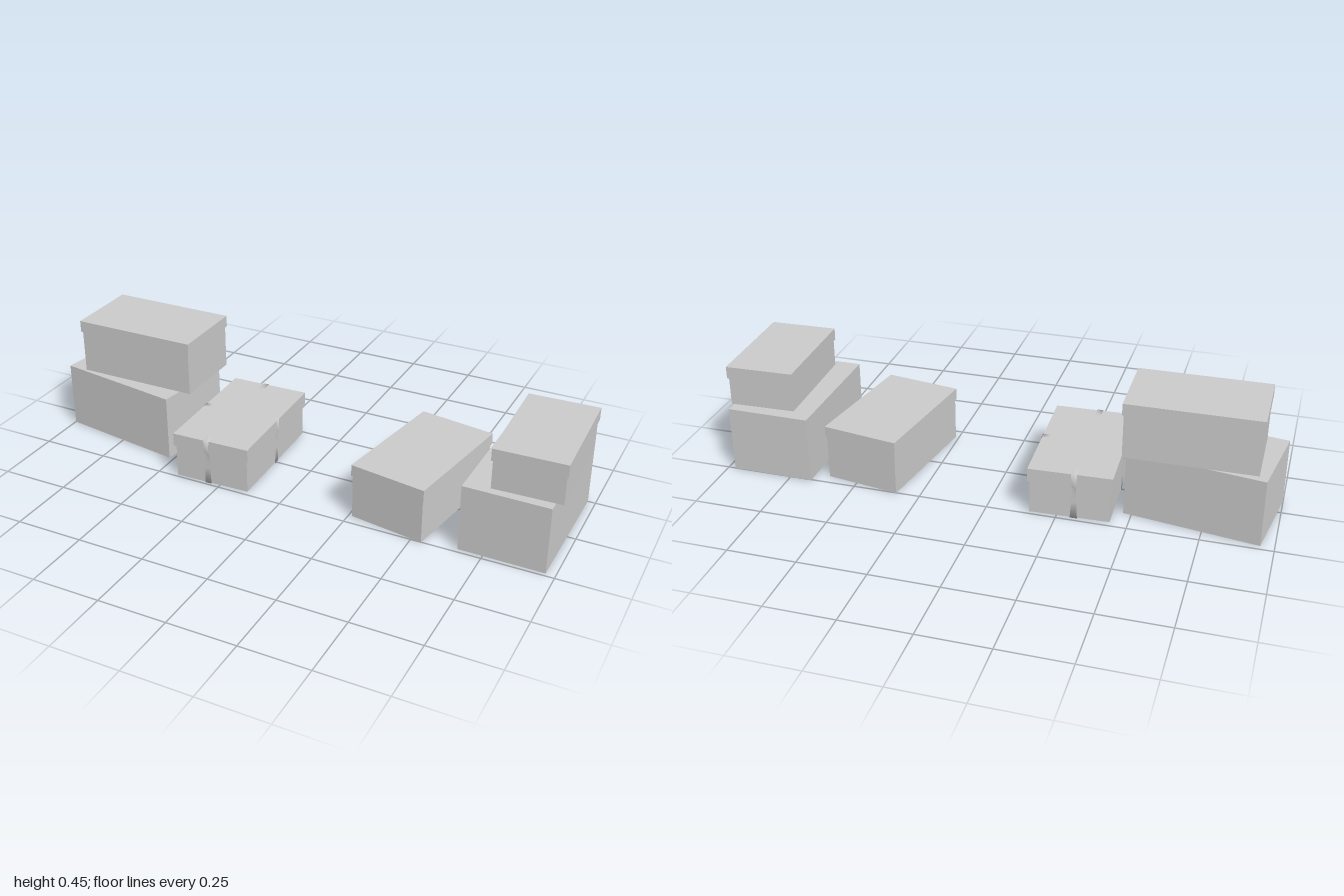
import * as THREE from 'three';

const material = new THREE.MeshStandardMaterial({ color: 0xcccccc });
const ribbonMaterial = new THREE.MeshStandardMaterial({ color: 0xcccccc, side: THREE.DoubleSide });

// A cuboid standing on height y0 and reaching y1
function block(name, w, d, y0, y1) {
  const mesh = new THREE.Mesh(new THREE.BoxGeometry(w, y1 - y0, d), material);
  mesh.name = name;
  mesh.position.y = (y0 + y1) / 2;
  return mesh;
}

// A box, optionally with an overhanging lid of height lidH; w and d are outer sizes
function makeBox({ name, x, z, w, d, y0, y1, turn, lidH = 0, over = 0 }) {
  const box = new THREE.Group();
  box.name = name;
  box.position.set(x, 0, z);
  box.rotation.y = turn;
  box.add(block('boxBody', w - 2 * over, d - 2 * over, y0, y1 - lidH));
  if (lidH) box.add(block('boxLid', w, d, y1 - lidH, y1));
  return box;
}

// A closed band around a lidded box, pinched below the lid: [across, height, half width]
function makeRibbon(name, body, lid, lidY, topY) {
  const side = [
    [0, 0, 0.01], [body, 0, 0.013], [body, lidY * 0.5, 0.009],
    [body, lidY - 0.008, 0.007], [lid, lidY, 0.007], [lid, topY, 0.011], [lid * 0.8, topY, 0.01],
  ];
  const mirrored = side.slice(1).reverse().map(([s, y, h]) => [-s, y, h]);
  const path = [...side, [0, topY, 0.009], ...mirrored];
  const positions = [], indices = [], n = path.length;
  path.forEach(([s, y, h], i) => {
    positions.push(-h, y, s, h, y, s);
    const a = 2 * i, b = 2 * ((i + 1) % n);
    indices.push(a, a + 1, b, a + 1, b + 1, b);
  });
  const geometry = new THREE.BufferGeometry();
  geometry.setAttribute('position', new THREE.Float32BufferAttribute(positions, 3));
  geometry.setIndex(indices);
  geometry.computeVertexNormals();
  const mesh = new THREE.Mesh(geometry, ribbonMaterial);
  mesh.name = name;
  return mesh;
}

export function createModel() {
  const model = new THREE.Group();
  model.name = 'boxes';

  // Stacked and single boxes
  const boxes = [
    { name: 'rightLowerBox', x: -0.735, z: -0.04, w: 0.487, d: 0.309, y0: 0, y1: 0.247, turn: -0.154 },
    { name: 'rightUpperBox', x: -0.693, z: -0.062, w: 0.47, d: 0.284, y0: 0.247, y1: 0.452, turn: 0.005, lidH: 0.043, over: 0.005 },
    { name: 'singleBox', x: 0.438, z: 0, w: 0.287, d: 0.473, y0: 0, y1: 0.207, turn: -0.161, lidH: 0.043, over: 0.004 },
    { name: 'leftLowerBox', x: 0.817, z: -0.009, w: 0.305, d: 0.488, y0: 0, y1: 0.247, turn: -0.012 },
    { name: 'leftUpperBox', x: 0.866, z: -0.002, w: 0.252, d: 0.417, y0: 0.247, y1: 0.397, turn: 0.028, lidH: 0.045, over: 0.005 },
  ];
  boxes.forEach((b) => model.add(makeBox(b)));

  // Gift box with two crossing ribbons
  const w = 0.299, d = 0.486, over = 0.007, lidH = 0.049, top = 0.177, gap = 0.002;
  const gift = makeBox({ name: 'giftBox', x: -0.288, z: 0.002, w, d, y0: 0.002, y1: top, turn: 0.033, lidH, over });
  const longRibbon = makeRibbon('longRibbon', d / 2 - over + gap, d / 2 + gap, top - lidH, top + gap);
  longRibbon.position.x = -0.015;
  const crossRibbon = makeRibbon('crossRibbon', w / 2 - over + gap, w / 2 + gap, top - lidH, top + gap);
  crossRibbon.rotation.y = Math.PI / 2;
  gift.add(longRibbon, crossRibbon);
  model.add(gift);

  return model;
}
